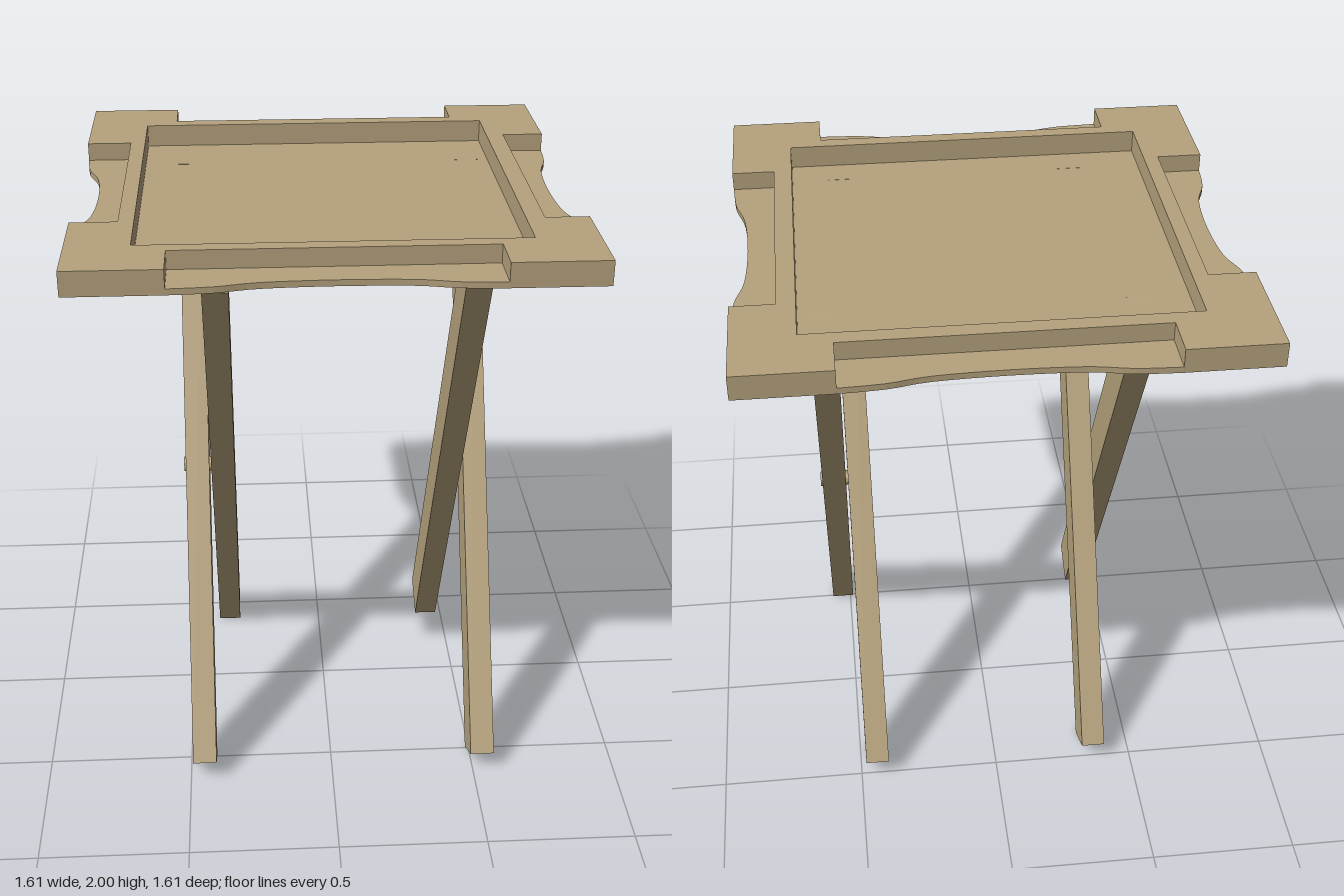
import * as THREE from 'three';

const wood = new THREE.MeshStandardMaterial({ color: 0xb5a27d, side: THREE.DoubleSide, flatShading: true });

const TOP = 2, LEDGE = 1.94, FLOOR = 1.925, BOTTOM = 1.92;
const EDGE = 0.805, TRAY = 0.605;

// One entry per side, starting at the front and going round by +x:
// half width of the notch, how far in it reaches, and how far in its edge curves
const SIDES = [
  { half: 0.5, inner: 0.655, waist: 0.762 },
  { half: 0.43, inner: 0.665, waist: 0.755 },
  { half: 0.5, inner: 0.66, waist: 0.765 },
  { half: 0.4, inner: 0.655, waist: 0.745 },
];

// Turns (along, outward) of side i into plan coordinates (x, z)
function place(i, along, out) {
  const c = Math.round(Math.cos(i * Math.PI / 2)), s = Math.round(Math.sin(i * Math.PI / 2));
  return new THREE.Vector2(along * c + out * s, -along * s + out * c);
}

function add(group, name, geometry) {
  const mesh = new THREE.Mesh(geometry, wood);
  mesh.name = name;
  group.add(mesh);
  return mesh;
}

// Horizontal sheet from plan points, with an optional hole
function sheet(points, y, hole) {
  const flip = list => list.map(p => new THREE.Vector2(p.x, -p.y));
  const shape = new THREE.Shape(flip(points));
  if (hole) shape.holes.push(new THREE.Path(flip(hole)));
  return new THREE.ShapeGeometry(shape).rotateX(-Math.PI / 2).translate(0, y, 0);
}

// Upright wall along plan points
function wall(points, yTop, yLow) {
  const pos = [];
  for (let i = 0; i + 1 < points.length; i++) {
    const a = points[i], b = points[i + 1];
    pos.push(a.x, yLow, a.y, b.x, yLow, b.y, b.x, yTop, b.y);
    pos.push(a.x, yLow, a.y, b.x, yTop, b.y, a.x, yTop, a.y);
  }
  const geometry = new THREE.BufferGeometry();
  geometry.setAttribute('position', new THREE.Float32BufferAttribute(pos, 3));
  geometry.computeVertexNormals();
  return geometry;
}

function createTableTop() {
  const top = new THREE.Group();
  top.name = 'tableTop';
  const outline = [];

  SIDES.forEach(({ half, inner, waist }, i) => {
    const notch = [[-half, EDGE], [-half, inner], [half, inner], [half, EDGE]].map(p => place(i, ...p));
    const corner = place(i, EDGE, EDGE);
    outline.push(...notch, corner);
    add(top, 'notchWall', wall(notch, TOP, LEDGE));

    // Corner skirt, running on to the next side's notch
    const next = (i + 1) % 4;
    add(top, 'cornerSkirt', wall([notch[3], corner, place(next, -SIDES[next].half, EDGE)], TOP, BOTTOM));

    // Lowered ledge with a waisted outer edge
    const profile = [[-1, 0], [-0.72, 0.2], [-0.45, 0.8], [0, 1], [0.45, 0.8], [0.72, 0.2], [1, 0]]
      .map(([u, f]) => new THREE.Vector2(u * half, EDGE - f * (EDGE - waist)));
    const curve = new THREE.SplineCurve(profile).getPoints(24).map(p => place(i, p.x, p.y));
    add(top, 'ledge', sheet([...curve, notch[2], notch[1]], LEDGE));
    add(top, 'ledgeSkirt', wall(curve, LEDGE, BOTTOM));
  });

  // Raised frame around a sunken tray
  const tray = [0, 1, 2, 3].map(i => place(i, TRAY, TRAY));
  add(top, 'frame', sheet(outline, TOP, tray));
  add(top, 'trayWall', wall([...tray, tray[0]], TOP, FLOOR));
  add(top, 'trayFloor', sheet(tray, FLOOR));
  return top;
}

export function createModel() {
  const model = new THREE.Group();
  model.name = 'foldingTrayTable';
  model.add(createTableTop());

  // Crossed legs: the outer pair stands forward, the inner pair backward
  const pivotY = 0.963, pivotZ = 0.055, tilt = 0.501;
  const legs = [
    ['outerLeg', 0.53, -tilt], ['innerLeg', 0.44, tilt],
    ['outerLeg', -0.45, -tilt], ['innerLeg', -0.36, tilt],
  ];
  for (const [name, x, angle] of legs) {
    const leg = add(model, name, new THREE.BoxGeometry(0.082, 2.11, 0.155));
    leg.position.set(x, pivotY, pivotZ);
    leg.rotation.x = angle;
  }

  // Pivot pins through each pair of legs
  for (const [from, to] of [[0.41, 0.579], [-0.499, -0.33]]) {
    const pin = add(model, 'pivotPin', new THREE.CylinderGeometry(0.026, 0.026, to - from, 12));
    pin.rotation.z = Math.PI / 2;
    pin.position.set((from + to) / 2, 0.96, pivotZ);
  }
  return model;
}
